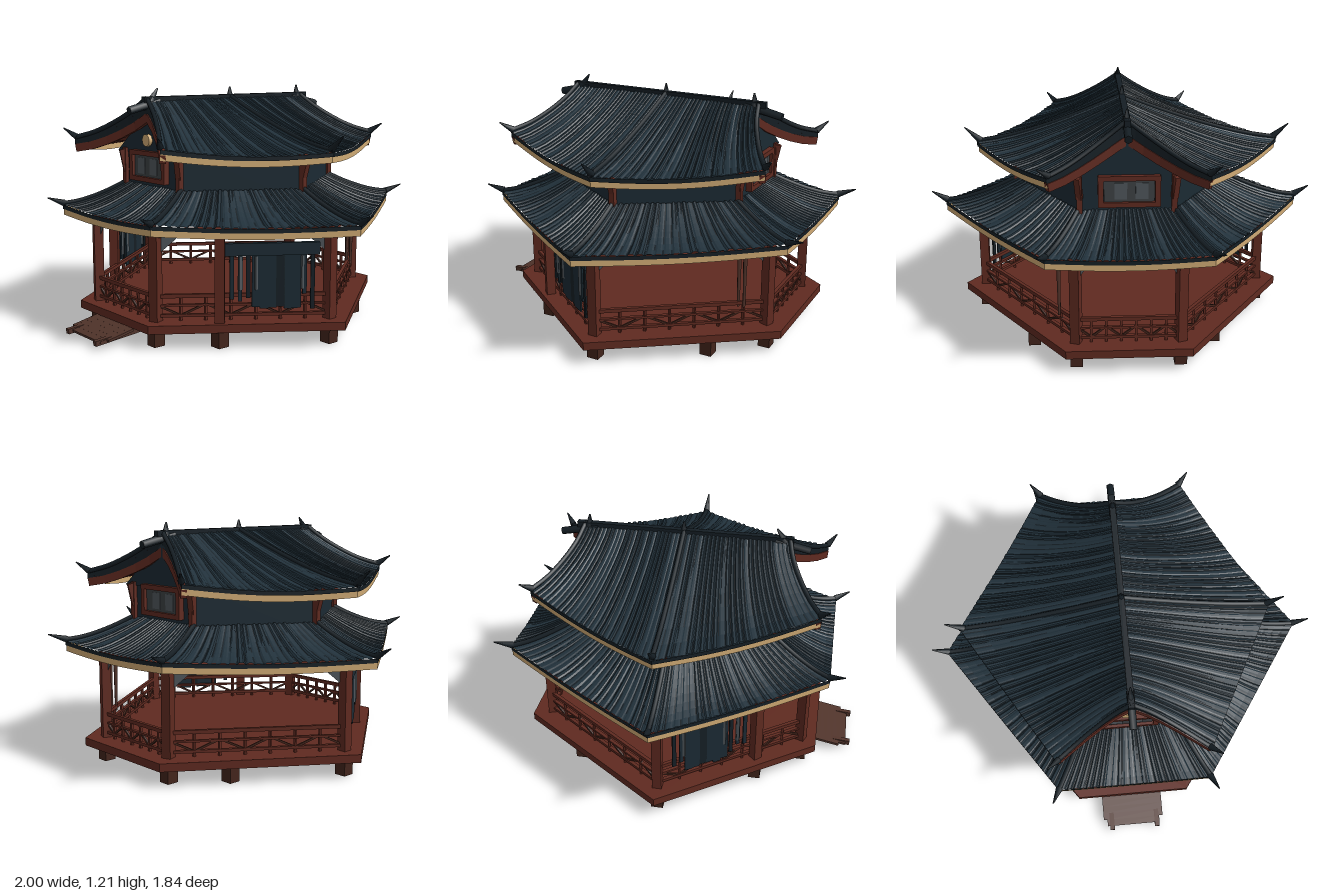
import * as THREE from 'three';

const mat = (name, color, side = THREE.FrontSide) => {
  const m = new THREE.MeshStandardMaterial({ color, side });
  m.name = name;
  return m;
};
const V = (x, y, z) => new THREE.Vector3(x, y, z);

export function createModel() {
  const D = THREE.DoubleSide;
  const tile = mat('slate roof tile', 0x21313b);
  const groove = mat('dark roof groove', 0x151e24, D);
  const wall = mat('navy wall', 0x1b2a33, D);
  const red = mat('red timber', 0x5f2a20);
  const dark = mat('dark timber', 0x42241b);
  const tan = mat('tan eave trim', 0xcfaa74, D);
  const plank = mat('brown plank', 0x50332a);
  const grey = mat('grey bracket', 0x4f565b, D);
  const pane = mat('window pane', 0x3d4144);

  const root = new THREE.Group();
  root.name = 'pavilion';
  let seed = 7;
  const rand = () => (seed = (seed * 16807) % 2147483647) / 2147483647;

  const add = (name, geo, m) => {
    const mesh = new THREE.Mesh(geo, m);
    mesh.name = name;
    root.add(mesh);
    return mesh;
  };
  const box = (name, w, h, d, x, y, z, m) => {
    const b = add(name, new THREE.BoxGeometry(w, h, d), m);
    b.position.set(x, y, z);
    return b;
  };
  // square beam between two points
  const beam = (name, a, b, w, h, m) => {
    const o = add(name, new THREE.BoxGeometry(w, h, a.distanceTo(b)), m);
    o.position.copy(a).lerp(b, 0.5);
    o.lookAt(b);
  };
  // tapered rod between two points
  const rod = (name, a, b, r0, r1, m) => {
    const o = add(name, new THREE.CylinderGeometry(r1, r0, a.distanceTo(b), 6), m);
    o.position.copy(a).lerp(b, 0.5);
    o.quaternion.setFromUnitVectors(V(0, 1, 0), b.clone().sub(a).normalize());
  };
  // hexagon: side corners on the x axis, straight front and back edges
  const ring = (xs, xc, zf, zb) => [[xs, -0.01], [xc, zf], [-xc, zf], [-xs, -0.01], [-xc, zb], [xc, zb]];
  const prism = (name, pts, y0, y1, m) => {
    const s = new THREE.Shape(pts.map(([x, z]) => new THREE.Vector2(x, -z)));
    const g = new THREE.ExtrudeGeometry(s, { depth: y1 - y0, bevelEnabled: false });
    add(name, g.rotateX(-Math.PI / 2).translate(0, y0, 0), m);
  };

  // surface from f(u, v), turned to face up or down; ribbed surfaces get tile humps and broken grooves
  function surface(name, f, nu, nv, mats, { down = false, ribs = false } = {}) {
    const cells = [[], []];
    const us = [];
    for (let i = 0; i < nu; i++) {
      if (!ribs) us.push([i / nu, 0, 0]);
      else {
        const h = 0.002 + rand() * 0.006;
        us.push([i / nu, 0, 0], [(i + 0.2) / nu, h, 0], [(i + 0.6) / nu, h, 0], [(i + 0.8) / nu, 0, 1]);
      }
    }
    us.push([1, 0, 0]);
    const p = ([u, h], v) => { const q = f(u, v); q.y += h; return q; };
    const c = f(0.5, 0.5);
    const n = f(0.51, 0.5).sub(c).cross(f(0.5, 0.51).sub(c));
    const flip = (n.y < 0) !== down;
    for (let i = 0; i + 1 < us.length; i++) for (let j = 0; j < nv; j++) {
      const [a, b, e, d] = [p(us[i], j / nv), p(us[i + 1], j / nv), p(us[i + 1], (j + 1) / nv), p(us[i], (j + 1) / nv)];
      const tri = flip ? [a, e, b, a, d, e] : [a, b, e, a, e, d];
      cells[us[i][2] && rand() < 0.6 ? 1 : 0].push(...tri);
    }
    const g = new THREE.BufferGeometry().setFromPoints([...cells[0], ...cells[1]]);
    if (ribs) {
      g.addGroup(0, cells[0].length, 0);
      g.addGroup(cells[0].length, cells[1].length, 1);
    }
    g.computeVertexNormals();
    add(name, g, mats);
  }
  const drop = (v, y) => v.setY(v.y - y);
  // tiles, soffit and eave bands for one roof slope
  function slope(name, f, n) {
    surface(name + 'Tiles', f, n, 8, [tile, groove], { ribs: true });
    surface(name + 'Soffit', (u, v) => drop(f(u, v), 0.022), 8, 6, red, { down: true });
    surface(name + 'EaveEdge', (u, v) => drop(f(u, 1), v * 0.02), 12, 1, groove);
    surface(name + 'EaveTrim', (u, v) => drop(f(u, 0.99), 0.014 + v * 0.036), 12, 1, tan);
  }
  // rounded hip along a roof line, ending in an upturned horn
  function hip(name, f, tip) {
    const pts = [0, 0.25, 0.5, 0.75, 1].map((v) => f(v).add(V(0, 0.008, 0)));
    add(name, new THREE.TubeGeometry(new THREE.CatmullRomCurve3(pts), 12, 0.012, 6), groove);
    rod(name + 'Horn', pts[4].clone().lerp(pts[3], 0.1), tip, 0.018, 0.003, groove);
  }

  // ---- platform
  prism('deck', ring(0.845, 0.3, 0.74, -0.795), 0.08, 0.12, red);
  prism('deckUnderside', ring(0.83, 0.29, 0.73, -0.78), 0.076, 0.08, dark);
  const corners = ring(0.74, 0.25, 0.66, -0.7);
  const mids = [[0.46, 0.44], [-0.44, 0.44], [0.46, -0.48], [-0.44, -0.48]];
  for (const [x, z] of [...corners, ...mids]) box('foot', 0.06, 0.1, 0.06, x, 0.05, z, dark);

  // ---- posts, tie beams, railings
  for (const [x, z] of [...corners, ...mids.slice(0, 2)]) {
    const p = box('post', 0.047, 0.46, 0.047, x, 0.34, z, red);
    p.rotation.y = Math.atan2(x, z);
  }
  corners.forEach(([ax, az], i) => {
    const [bx, bz] = corners[(i + 1) % 6];
    const at = (t, y) => V(ax + (bx - ax) * t, y, az + (bz - az) * t);
    beam('tieBeam', at(0, 0.545), at(1, 0.545), 0.04, 0.04, red);
    for (const [y, h] of [[0.24, 0.018], [0.195, 0.01], [0.145, 0.014]]) beam('rail', at(0, y), at(1, y), 0.018, h, red);
    const n = 7;
    for (let k = 0; k < n; k++) {
      beam('baluster', at(k / n, 0.12), at(k / n, 0.24), 0.012, 0.012, red);
      const s = k % 2;
      beam('railBrace', at((k + s) / n, 0.145), at((k + 1 - s) / n, 0.2), 0.01, 0.01, dark);
    }
    // carved corner brackets
    for (const [t0, t1] of [[0.03, 0.14], [0.97, 0.86]]) {
      const g = new THREE.BufferGeometry().setFromPoints([at(t0, 0.53), at(t1, 0.53), at(t0, 0.45)]);
      g.computeVertexNormals();
      add('bracket', g, grey);
    }
  });

  // ---- hanging curtains on the two front side bays
  for (const s of [1, -1]) {
    const at = (t, y) => V(s * (0.71 - 0.24 * t), y, 0.05 + 0.35 * t);
    beam('curtainRod', at(-0.03, 0.465), at(1.06, 0.465), 0.025, 0.06, wall);
    for (let k = 0; k < 11; k++) {
      const solid = k > 1 && k < 8;
      const low = 0.17 + (solid ? 0.02 : 0.08) * rand();
      const strip = box('curtainStrip', solid ? 0.042 : 0.02, 0.47 - low, 0.008, 0, 0, 0, k % 4 ? wall : groove);
      strip.position.copy(at((k + 0.5) / 11, (0.47 + low) / 2));
      strip.rotation.y = Math.atan2(0.35 * s, 0.24);
    }
    for (const t of [0.16, 0.68, 0.86]) beam('curtainTassel', at(t, 0.27), at(t, 0.43), 0.014, 0.02, grey);
  }
  for (const z of [-0.58, -0.61]) rod('hangingCord', V(0.33, 0.22, z), V(0.33, 0.54, z), 0.007, 0.012, plank);

  // ---- entrance step
  for (let k = 0; k < 5; k++) {
    const b = box('stepPlank', k > 3 ? 0.29 : 0.33, 0.012, 0.036, -0.01, 0.062 - k * 0.007, 0.74 + k * 0.035, plank);
    b.rotation.x = 0.19;
  }
  beam('stepUnderside', V(-0.01, 0.053, 0.73), V(-0.01, 0.023, 0.88), 0.25, 0.008, groove);
  for (const x of [-0.13, 0.12]) beam('stepRunner', V(x, 0.06, 0.58), V(x, 0.03, 0.92), 0.025, 0.025, plank);

  // ---- lower roof
  const inner = ring(0.55, 0.23, 0.49, -0.52);
  const outer = ring(0.93, 0.385, 0.78, -0.84);
  const tips = ring(1, 0.415, 0.85, -0.92);
  const eaveY = (i) => (i % 3 === 0 ? 0.595 : 0.61);
  const mix = (a, b, t) => a + (b - a) * t;
  for (let i = 0; i < 6; i++) {
    const j = (i + 1) % 6;
    const f = (u, v) => {
      const y = mix(eaveY(i), eaveY(j), u) - 0.015 * Math.sin(Math.PI * u) * v;
      const [x, z] = [0, 1].map((c) => mix(mix(inner[i][c], inner[j][c], u), mix(outer[i][c], outer[j][c], u), v));
      return V(x, y + (0.72 - y) * (1 - v) ** 1.6, z);
    };
    slope('lowerRoof', f, 24);
    hip('lowerHip', (v) => f(0, v), V(tips[i][0], 0.65, tips[i][1]));
  }
  prism('ceiling', ring(0.56, 0.24, 0.5, -0.53), 0.64, 0.66, wall);

  // ---- upper storey
  prism('upperWall', ring(0.54, 0.22, 0.49, -0.52), 0.66, 0.92, wall);
  ring(0.55, 0.225, 0.495, -0.525).forEach(([x, z], i) => {
    const out = i % 3 === 0 ? 1.06 : 1.04;
    box('upperPost', 0.028, 0.2, 0.028, x, 0.8, z, red);
    beam('eaveStrut', V(x, 0.78, z), V(x * out, 0.89, z * out), 0.028, 0.028, red);
  });

  // ---- upper roof: four curved quarters meeting at the ridge
  for (const sx of [1, -1]) for (const sz of [1, -1]) {
    const reach = sx > 0 ? 0.75 : 0.81;
    const f = (u, v) => {
      const a = V(sx * reach * v, 0.915 + 0.235 * (1 - v) ** 1.4, -0.01);
      const b = V(sx * 0.37 * v, 0.945 + 0.205 * (1 - v) ** 1.35, sz * (0.52 + 0.19 * v ** 1.4));
      const p = a.lerp(b, u);
      p.y -= 0.025 * v * Math.sin(Math.PI * u);
      return p;
    };
    slope('upperRoof', f, 26);
    hip('gableEdge', (v) => f(1, v), V(sx * 0.41, 1.0, sz * 0.75));
    if (sz > 0) hip('sideHip', (v) => f(0, v), V(sx * (reach + 0.06), 0.995, -0.01));
    // dark gable edge with barge boards beneath it
    surface('gableFascia', (u, v) => drop(f(1, u), v * (0.075 - 0.045 * u)), 10, 1, groove);
    for (let k = 0; k < 5; k++) {
      const q = (s) => {
        const t = Math.min(s, 1);
        return f(1, t).add(V(0, -0.085 + 0.04 * t, -sz * 0.012));
      };
      beam('bargeBoard', q(k / 5), q((k + 1.1) / 5), 0.03, 0.04, red);
    }
  }

  // ---- ridge and finials
  box('ridge', 0.03, 0.03, 1.1, 0, 1.15, -0.01, groove);
  for (const s of [1, -1]) {
    rod('ridgeEnd', V(0, 1.14, s * 0.45), V(0, 1.1, s * 0.635 - 0.01), 0.022, 0.02, groove);
    rod('finial', V(0, 1.14, s * 0.5), V(0, 1.205, s * 0.475 - 0.02), 0.022, 0.004, groove);
  }
  rod('finial', V(0, 1.14, -0.01), V(0, 1.205, -0.01), 0.022, 0.004, groove);

  // ---- gables with windows at front and back
  for (const s of [1, -1]) {
    const z = s > 0 ? 0.495 : -0.525;
    const tri = new THREE.Shape([[-0.3, 0.88], [0.3, 0.88], [0.2, 0.96], [0, 1.1], [-0.2, 0.96]].map((p) => new THREE.Vector2(...p)));
    add('gableWall', new THREE.ShapeGeometry(tri), wall).position.z = z;
    box('window', 0.24, 0.13, 0.008, -0.01, 0.82, z + s * 0.008, pane);
    for (const y of [0.755, 0.885]) box('windowRail', 0.29, 0.024, 0.03, -0.01, y, z + s * 0.012, red);
    for (const x of [-0.145, 0.125]) box('windowStile', 0.026, 0.15, 0.03, x, 0.82, z + s * 0.012, red);
    for (const x of [-0.07, 0.03]) box('windowPanel', 0.06, 0.08, 0.006, x, 0.82, z + s * 0.012, grey);
  }
  const disc = add('gableDisc', new THREE.CylinderGeometry(0.03, 0.03, 0.02, 16), tan);
  disc.rotation.x = Math.PI / 2;
  disc.position.set(-0.015, 0.95, 0.51);

  return root;
}
